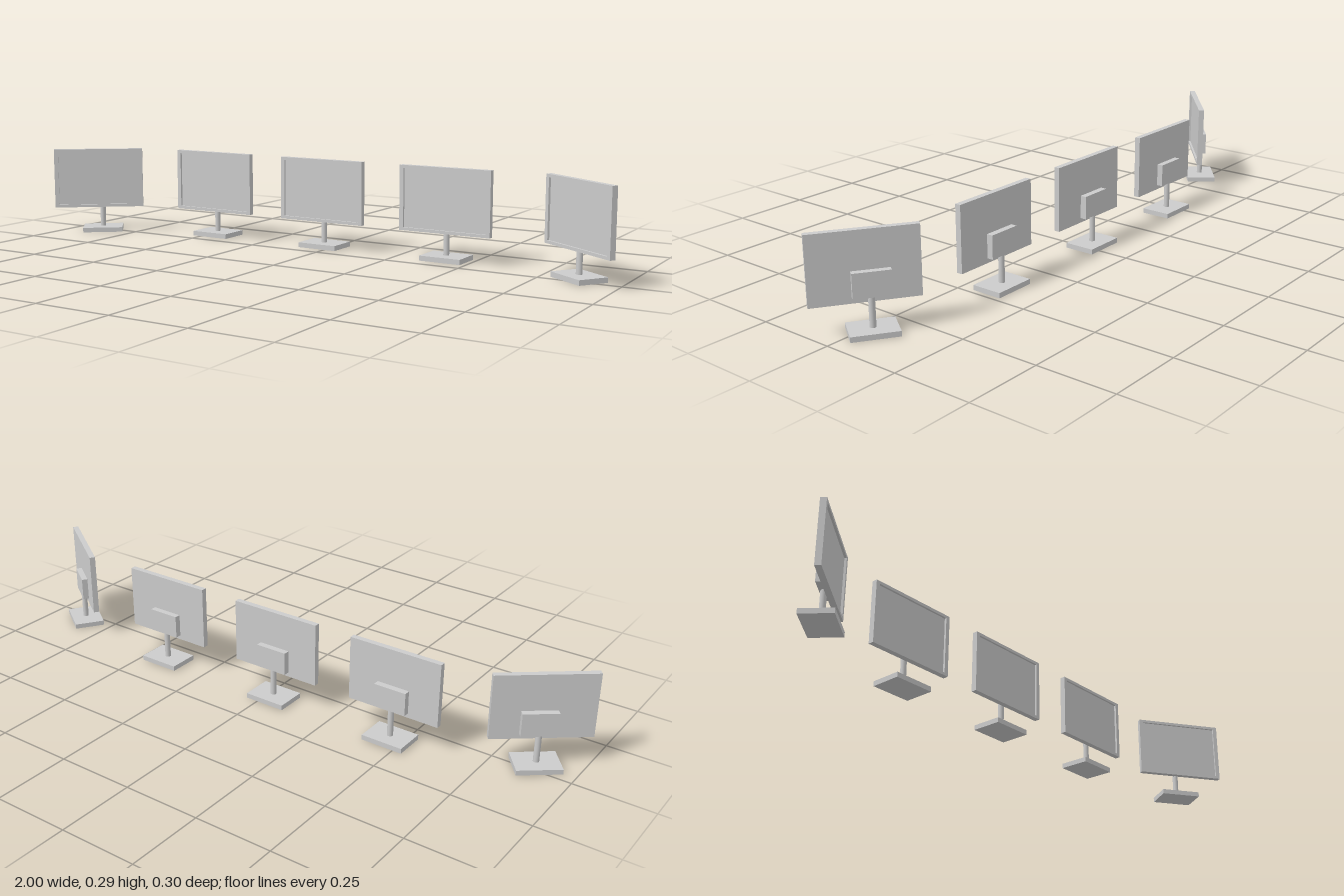
import * as THREE from 'three';

const material = new THREE.MeshStandardMaterial({ color: 0xcccccc });
const W = 0.307, H = 0.206, T = 0.0185;      // screen width, height, thickness
const RECESS = 0.007, SIDE = 0.014, EDGE = 0.0095;

function add(parent, name, geometry, x, y, z) {
  const mesh = new THREE.Mesh(geometry, material);
  mesh.name = name;
  mesh.position.set(x, y, z);
  parent.add(mesh);
  return mesh;
}

const box = (w, h, d) => new THREE.BoxGeometry(w, h, d);

function rectangle(path, w, h) {
  path.moveTo(-w / 2, -h / 2);
  path.lineTo(w / 2, -h / 2);
  path.lineTo(w / 2, h / 2);
  path.lineTo(-w / 2, h / 2);
  path.closePath();
  return path;
}

// Raised border around the display
function bezelGeometry() {
  const outline = rectangle(new THREE.Shape(), W, H);
  outline.holes.push(rectangle(new THREE.Path(), W - 2 * SIDE, H - 2 * EDGE));
  return new THREE.ExtrudeGeometry(outline, { depth: RECESS, bevelEnabled: false });
}

function createMonitor(name, x, z, angle) {
  const monitor = new THREE.Group();
  monitor.name = name;
  monitor.position.set(x, 0, z);

  // Display panel with its recessed face
  const screen = new THREE.Group();
  screen.name = 'screen';
  screen.position.y = 0.19;
  screen.rotation.y = angle;
  add(screen, 'displayPanel', box(W, H, T - RECESS), 0, 0, -RECESS / 2);
  add(screen, 'bezel', bezelGeometry(), 0, 0, T / 2 - RECESS);
  monitor.add(screen);

  // Stand: each piece turns about its own centre
  const sx = -0.003;
  add(monitor, 'rearMount', box(0.107, 0.074, 0.02), sx, 0.142, -0.0245).rotation.y = angle;
  add(monitor, 'pole', new THREE.CylinderGeometry(0.0093, 0.0093, 0.1, 24), sx, 0.06, -0.0205);
  add(monitor, 'base', box(0.137, 0.016, 0.1), sx, 0.008, -0.0205).rotation.y = angle;
  return monitor;
}

export function createModel() {
  const model = new THREE.Group();
  model.name = 'monitorRow';
  const deg = Math.PI / 180;

  // Three straight monitors between two turned inwards
  [-0.458, -0.025, 0.418].forEach((x, i) =>
    model.add(createMonitor('straightMonitor' + (i + 1), x, -0.077, 0)));
  model.add(createMonitor('rightEndMonitor', -0.874, 0.047, 38.3 * deg));
  model.add(createMonitor('leftEndMonitor', 0.868, -0.0105, -34.5 * deg));
  return model;
}
